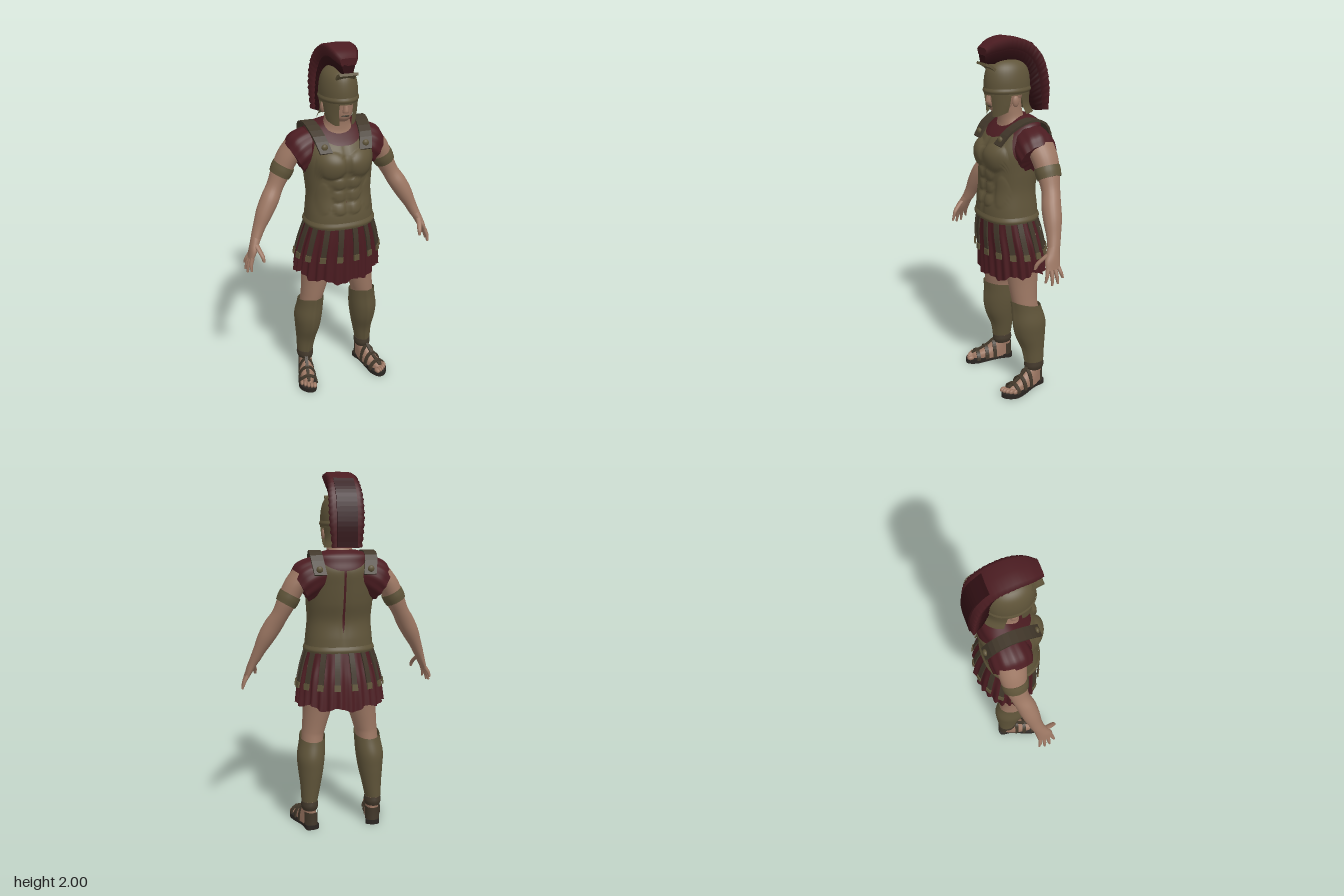
import * as THREE from 'three';

const TAU = Math.PI * 2;
const V = (x, y, z) => new THREE.Vector3(x, y, z);
const lerp = THREE.MathUtils.lerp;
const paint = (name, color) => {
  const m = new THREE.MeshStandardMaterial({ color, side: THREE.DoubleSide });
  m.name = name;
  return m;
};

// Surface through rows of points, each row a loop (closed) or an open strip
function skinRows(rows, { closed = true, cap = true, flat = false } = {}) {
  const k = rows[0].length, pos = [], idx = [];
  rows.forEach(r => r.forEach(p => pos.push(p.x, p.y, p.z)));
  for (let j = 0; j < rows.length - 1; j++) {
    for (let i = 0; i < (closed ? k : k - 1); i++) {
      const a = j * k + i, b = j * k + (i + 1) % k;
      idx.push(a, b, b + k, a, b + k, a + k);
    }
  }
  if (closed && cap) {
    [rows[0], rows[rows.length - 1]].forEach((r, end) => {
      const base = pos.length / 3, c = V(0, 0, 0);
      r.forEach(p => { pos.push(p.x, p.y, p.z); c.addScaledVector(p, 1 / k); });
      pos.push(c.x, c.y, c.z);
      for (let i = 0; i < k; i++) {
        const a = base + i, b = base + (i + 1) % k;
        idx.push(base + k, end ? a : b, end ? b : a);
      }
    });
  }
  let g = new THREE.BufferGeometry();
  g.setAttribute('position', new THREE.Float32BufferAttribute(pos, 3));
  g.setIndex(idx);
  if (flat) g = g.toNonIndexed();
  g.computeVertexNormals();
  return g;
}

// Smooth loft through rings [x, y, z, radiusX, radiusZ, tilt], listed upwards; angle 0 faces +z
function loft(rings, { n = 24, m = rings.length * 4, from = 0, to = TAU, p = 1, cap = true, trim, shape } = {}) {
  const spline = pts => new THREE.CatmullRomCurve3(pts, false, 'catmullrom', 0.5);
  const C = spline(rings.map(r => V(r[0], r[1], r[2])));
  const R = spline(rings.map(r => V(r[3], r[4], r[5] || 0)));
  const closed = to - from > 6.28, pw = v => Math.sign(v) * Math.pow(Math.abs(v), p), rows = [];
  for (let j = 0; j <= m; j++) {
    const row = [];
    for (let i = 0; i < (closed ? n : n + 1); i++) {
      const th = lerp(from, to, i / n), t = j / m * (trim ? trim(th) : 1);
      const c = C.getPoint(t), r = R.getPoint(t), u = r.x * pw(Math.sin(th));
      const q = V(c.x + u * Math.cos(r.z), c.y + u * Math.sin(r.z), c.z + r.y * pw(Math.cos(th)));
      if (shape) shape(q, t, th);
      row.push(q);
    }
    rows.push(row);
  }
  return skinRows(rows, { closed, cap });
}

// Flat band along points; wide gives the direction of its width
function ribbon(points, wide, width, thick = 0.008, steps = 12) {
  const curve = new THREE.CatmullRomCurve3(points), rows = [];
  for (let j = 0; j <= steps; j++) {
    const c = curve.getPoint(j / steps), nrm = curve.getTangent(j / steps).cross(wide).normalize();
    rows.push([[-1, -1], [1, -1], [1, 1], [-1, 1]].map(([a, b]) =>
      c.clone().addScaledVector(wide, a * width / 2).addScaledVector(nrm, b * thick / 2)));
  }
  return skinRows(rows, { flat: true });
}

function mirrored(geo) {
  const g = geo.clone().applyMatrix4(new THREE.Matrix4().makeScale(-1, 1, 1));
  const src = g.index ? Array.from(g.index.array) : Array.from({ length: g.attributes.position.count }, (_, i) => i);
  for (let i = 0; i < src.length; i += 3) [src[i], src[i + 1]] = [src[i + 1], src[i]];
  g.setIndex(src);
  return g;
}

export function createModel() {
  const model = new THREE.Group();
  const bronze = paint('bronze', 0x5f5439), red = paint('red cloth', 0x4b1c21), dark = paint('dark red hair', 0x300f13);
  const flesh = paint('skin', 0x9c7763), leather = paint('leather', 0x41372a), soleMat = paint('sole', 0x2b2622);
  const add = (name, geo, mat) => {
    const mesh = new THREE.Mesh(geo, mat);
    mesh.name = name;
    model.add(mesh);
  };
  const pair = (name, geo, mat) => { add(name + 'Left', geo, mat); add(name + 'Right', mirrored(geo), mat); };
  const ball = (x, y, z, rx, ry, rz) => new THREE.SphereGeometry(1, 14, 10).scale(rx, ry, rz).translate(x, y, z);

  // Tunic body
  const torso = [[0, 1.03, .035, .186, .148], [0, 1.1, .035, .18, .143], [0, 1.2, .03, .172, .128], [0, 1.3, .02, .178, .143],
    [0, 1.4, .015, .183, .155], [0, 1.47, -.005, .18, .143], [0, 1.52, -.022, .175, .113], [0, 1.56, -.04, .16, .083], [0, 1.585, -.04, .08, .05]];
  add('tunic', loft(torso, { n: 48, p: .88 }), red);

  // Cuirass with chest and stomach relief, cut low at the neck and arms
  const bump = (x, y, cx, cy, rx, ry) => Math.max(0, 1 - ((x - cx) / rx) ** 2 - ((y - cy) / ry) ** 2);
  const ridge = (x, w) => Math.exp(-1 * (x / w) ** 2);
  const relief = (x, y) => {
    const a = Math.abs(x);
    let d = .024 * Math.sqrt(bump(a, y, .082, 1.385, .08, .075)) - .008 * ridge(x, .012);
    for (const cy of [1.28, 1.21, 1.14]) d += .011 * Math.sqrt(bump(a, y, .042, cy, .038, .034));
    return d + .009 * Math.sqrt(bump(a, y, .125, 1.2, .035, .09));
  };
  add('cuirass', loft(torso.slice(0, 8).map(([x, y, z, a, b]) => [x, y, z, a + .008, b + .008]), {
    n: 96, m: 70, p: .88, cap: false,
    trim: th => {
      const s = Math.abs(Math.sin(th));
      return s < .65 ? lerp(.74, .88, (s / .65) ** 2) : lerp(.88, .52, THREE.MathUtils.smoothstep(s, .65, 1));
    },
    shape: (q, t, th) => {
      if (Math.cos(th) > 0) q.z += relief(q.x, q.y) * Math.min(1, Math.cos(th) * 3);
      else q.z += .01 * ridge(q.x, .02) * Math.min(1, t * 4);
    },
  }), bronze);
  add('cuirassRim', loft([[0, 1.025, .035, .197, .16], [0, 1.04, .035, .201, .163], [0, 1.06, .035, .192, .155]], { n: 48, p: .88, cap: false }), bronze);
  pair('shoulderStrap', ribbon([V(.11, 1.455, .152), V(.13, 1.53, .09), V(.145, 1.578, -.02), V(.15, 1.558, -.1), V(.135, 1.46, -.15)], V(1, 0, 0), .068, .012), leather);
  pair('strapClaspFront', ball(.115, 1.485, .138, .018, .018, .012), bronze);
  pair('strapClaspBack', ball(.14, 1.49, -.148, .018, .018, .012), bronze);

  // Sleeves
  pair('sleeve', loft([[.228, 1.39, -.03, .095, .104, 1.03], [.19, 1.425, -.03, .108, .112, 1.05], [.13, 1.455, -.035, .1, .105, 1.2], [.06, 1.465, -.035, .09, .1, 1.3]], {
    n: 60,
    shape: (q, t, th) => { const f = 1 + .035 * (1 - t) * Math.cos(12 * th); q.y = 1.42 + (q.y - 1.42) * f; q.z = -.03 + (q.z + .03) * f; },
  }), red);

  // Pleated skirt and hanging leather strips with metal tips
  const skirt = [[0, .7, 0, .247, .172], [0, .85, .012, .232, .166], [0, .95, .025, .208, .158], [0, 1.05, .035, .184, .146]];
  add('skirt', loft(skirt, {
    n: 216, m: 12, cap: false,
    shape: (q, t, th) => {
      const f = 1 + (1 - t) * (.04 * Math.cos(27 * th) + .012 * Math.sin(11 * th));
      q.x *= f; q.z *= f;
      q.y += (1 - t) * (.035 * Math.sin(th) ** 2 - .015 * Math.cos(th) + .012 * Math.sin(9 * th));
    },
  }), red);
  const strips = 16;
  for (let k = 0; k < strips; k++) {
    const th = (k + .5) / strips * TAU, s = Math.sin(th), c = Math.cos(th), wide = V(.19 * c, 0, -.15 * s).normalize();
    const at = (y, cz, a, b, o = .013) => V((a + o) * s, y, cz + (b + o) * c);
    add('skirtStrip', ribbon([at(1.045, .035, .184, .146, .006), at(.95, .025, .208, .158), at(.85, .012, .232, .166)], wide, .03), leather);
    add('stripTip', ribbon([at(.86, .013, .231, .166, .016), at(.825, .01, .236, .168, .016)], wide, .034, .009, 2), bronze);
  }

  // Arms, armbands and hands
  pair('arm', loft([[.475, .985, .03, .028, .036, .45], [.45, 1.04, .015, .034, .04, .45], [.415, 1.11, 0, .046, .05, .5], [.375, 1.18, -.015, .05, .053, .5],
    [.34, 1.24, -.035, .046, .051, .5], [.305, 1.31, -.045, .053, .061, .5], [.265, 1.39, -.045, .058, .073, .5], [.22, 1.45, -.04, .06, .08, .6]]), flesh);
  pair('armband', loft([[.31, 1.3, -.045, .058, .066, .5], [.296, 1.327, -.045, .062, .071, .5], [.283, 1.353, -.045, .061, .071, .5]]), bronze);
  pair('palm', loft([[.519, .883, .06, .013, .043, .4], [.502, .925, .055, .02, .045, .4], [.487, .96, .042, .024, .039, .4], [.473, .99, .03, .028, .036, .45]], { n: 16 }), flesh);
  [[.542, .838], [.546, .814], [.543, .81], [.528, .825]].forEach(([x, y], k) => {
    const z = .029 + k * .021, tip = z + (k - 1.2) * .011;
    pair('finger', loft([[x, y, tip, .006, .006, .3], [lerp(.52, x, .5) + .003, lerp(.89, y, .5), lerp(z, tip, .5), .01, .01, .3], [.515, .895, z, .012, .012, .3]], { n: 10 }), flesh);
  });
  pair('thumb', loft([[.463, .882, .134, .007, .008], [.467, .91, .122, .012, .013], [.478, .94, .092, .014, .016], [.487, .965, .06, .015, .017]], { n: 12 }), flesh);

  // Legs and greaves
  pair('leg', loft([[.185, .08, -.04, .035, .045], [.185, .2, -.04, .04, .05], [.175, .35, -.02, .055, .072], [.16, .52, .005, .062, .073], [.15, .58, .01, .067, .077],
    [.132, .68, .01, .08, .089], [.115, .8, .01, .098, .105], [.105, .95, .015, .1, .11]]), flesh);
  pair('greave', loft([[.187, .165, -.04, .046, .057], [.18, .25, -.035, .057, .068], [.175, .34, -.02, .071, .09], [.172, .42, -.012, .079, .099], [.163, .5, 0, .075, .088], [.158, .56, .01, .073, .083]], {
    n: 40, cap: false, trim: th => .92 + .08 * Math.cos(th),
    shape: (q, t, th) => { if (Math.cos(th) > 0) q.z += .008 * ridge(Math.sin(th), .15); },
  }), bronze);
  pair('ankleBand', loft([[.186, .112, -.04, .043, .054], [.186, .135, -.04, .049, .06], [.186, .16, -.04, .046, .056]]), leather);

  // Feet and sandals, toes turned out
  const foot = (name, geo, mat) => pair(name, geo.rotateY(.22).translate(.185, 0, -.04), mat);
  const outline = new THREE.Shape();
  outline.moveTo(0, -.06);
  outline.splineThru([[.038, -.045], [.036, .03], [.055, .13], [.05, .19], [.01, .232], [-.03, .23], [-.05, .18], [-.045, .12], [-.034, .03], [-.038, -.045], [0, -.06]].map(p => new THREE.Vector2(...p)));
  foot('sole', new THREE.ExtrudeGeometry(outline, { depth: .026, bevelEnabled: false, curveSegments: 4 }).rotateX(Math.PI / 2).translate(0, .026, 0), soleMat);
  foot('foot', loft([[0, .02, .075, .043, .132], [0, .05, .067, .042, .122], [0, .08, .03, .038, .08], [0, .125, 0, .034, .048]]), flesh);
  for (let k = 0; k < 5; k++) foot('toe', ball(-.032 + k * .018, .036, .213 - k * k * .0022, k ? .01 : .014, .014, .022), flesh);
  [[.165, .07, .052], [.11, .094, .049], [.06, .122, .044]].forEach(([z, h, w]) => {
    const arc = Array.from({ length: 9 }, (_, i) => V(w * Math.cos(i / 8 * Math.PI), .02 + (h - .02) * Math.sin(i / 8 * Math.PI), z));
    foot('sandalStrap', ribbon(arc, V(0, 0, 1), .022, .008, 16), leather);
  });
  foot('sandalTongue', ribbon([V(0, .058, .2), V(0, .09, .115), V(0, .14, .045)], V(1, 0, 0), .018), leather);
  foot('heelGuard', loft([[0, .022, 0, .042, .058], [0, .06, 0, .041, .056], [0, .1, 0, .041, .056]], { from: 1.8, to: TAU - 1.8 }), leather);

  // Neck and head
  add('neck', loft([[0, 1.44, 0, .14, .125], [0, 1.52, -.005, .11, .087], [0, 1.57, .005, .076, .07], [0, 1.62, .015, .068, .065], [0, 1.68, .02, .068, .065]]), flesh);
  add('head', loft([[0, 1.607, .07, .035, .045], [0, 1.635, .055, .06, .08], [0, 1.7, .04, .077, .1], [0, 1.78, .035, .085, .11], [0, 1.84, .03, .06, .08]]), flesh);
  add('nose', loft([[0, 1.66, .135, .017, .02], [0, 1.675, .137, .016, .022], [0, 1.725, .132, .009, .014]], { n: 10 }), flesh);
  add('mouth', ball(0, 1.642, .136, .022, .005, .006), leather);
  pair('eye', ball(.033, 1.703, .128, .014, .007, .006), soleMat);
  pair('ear', ball(.084, 1.67, .025, .012, .03, .02), flesh);

  // Helmet: dome, brow band, cheek guards, neck guard and peak
  add('helmetDome', loft([[0, 1.705, .03, .099, .128], [0, 1.78, .03, .098, .128], [0, 1.84, .03, .083, .113], [0, 1.875, .03, .052, .075], [0, 1.887, .03, .012, .015]], { n: 36 }), bronze);
  add('browBand', loft([[0, 1.712, .03, .1, .13], [0, 1.725, .03, .105, .135], [0, 1.74, .03, .1, .13]], { n: 36, cap: false }), bronze);
  pair('cheekGuard', loft([[0, 1.592, .055, .083, .088], [0, 1.65, .045, .092, .103], [0, 1.73, .033, .1, .128]], {
    from: .4, to: 1.4, n: 14, shape: (q, t, th) => { q.y += (1 - t) * .035 * Math.max(0, th - .7); },
  }), bronze);
  add('neckGuard', loft([[0, 1.6, 0, .1, .118], [0, 1.65, .015, .09, .11], [0, 1.73, .03, .1, .13]], { from: 1.85, to: TAU - 1.85, n: 24 }), bronze);
  add('helmetPeak', ribbon([V(0, 1.835, .125), V(0, 1.855, .15), V(0, 1.868, .182)], V(1, 0, 0), .1, .014), bronze);

  // Crest stations from nape to brow: inner z, y, outer z, y, half widths
  const stations = [[-.13, 1.6, -.188, 1.605, .05, .085], [-.1, 1.7, -.187, 1.75, .05, .1], [-.08, 1.79, -.155, 1.88, .045, .1], [-.04, 1.85, -.08, 1.967, .04, .092],
    [.03, 1.875, .03, 2, .035, .09], [.1, 1.875, .12, 1.985, .03, .078], [.175, 1.873, .18, 1.95, .025, .05]];
  const part = (i, w) => new THREE.CatmullRomCurve3(stations.map(s => w ? V(s[4], s[5], 0) : V(0, s[i + 1], s[i])), false, 'catmullrom', .5);
  const inner = part(0), outer = part(2), widths = part(0, true);
  const crest = (f0, f1, grow) => {
    const rows = [];
    for (let j = 0; j <= 64; j++) {
      const t = j / 64, a = inner.getPoint(t), b = outer.getPoint(t), w = widths.getPoint(t);
      const tuft = grow * (1 + .05 * Math.sin(j * 2.3) * (1 - t));
      const half = [[f0, 1], [lerp(f0, f1, .75), 1], [lerp(f0, f1, .95), .72]];
      const pt = (f, k) => a.clone().lerp(b, f).setX(k * lerp(w.x, w.y, f) * tuft);
      rows.push([...half.map(([f, k]) => pt(f, k)), pt(f1, 0), ...half.reverse().map(([f, k]) => pt(f, -k))]);
    }
    return skinRows(rows);
  };
  add('crestInnerHair', crest(-.1, .6, .96), dark);
  add('crestOuterHair', crest(.5, 1, 1), red);
  add('crestBackHair', ribbon([V(0, 1.61, -.19), V(0, 1.75, -.19), V(0, 1.88, -.158), V(0, 1.962, -.085)], V(1, 0, 0), .11, .009, 16), dark);
  return model;
}
